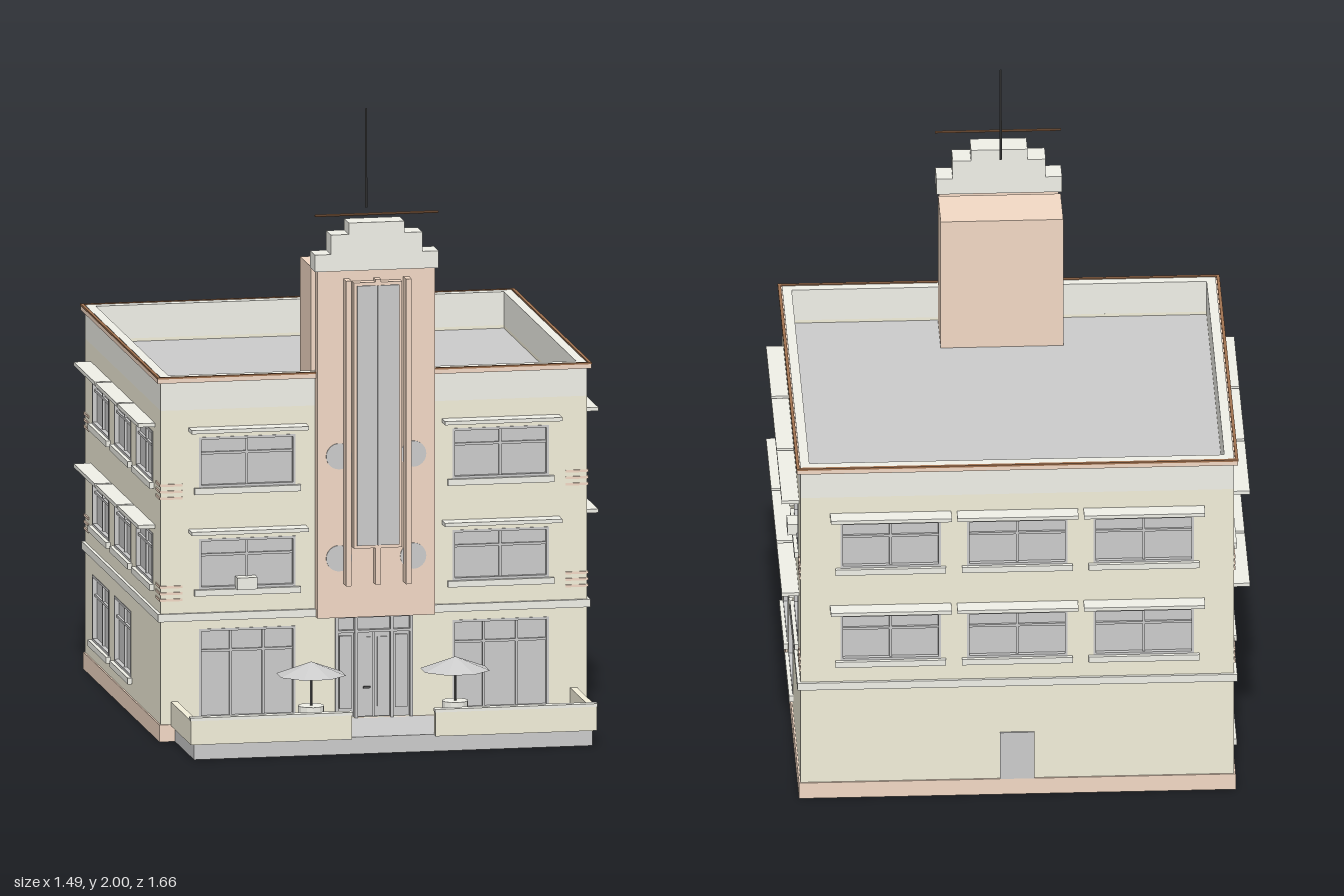
import * as THREE from 'three';

const mat = (color) => new THREE.MeshStandardMaterial({ color, flatShading: true });
const GREY = mat(0xcccccc), CREAM = mat(0xf3efda), PEACH = mat(0xf3d9c5),
  WHITE = mat(0xf0f0e8), COPPER = mat(0xa0714f), DARK = mat(0x555555);

function add(parent, name, geometry, material, x = 0, y = 0, z = 0) {
  const mesh = new THREE.Mesh(geometry, material);
  mesh.name = name;
  mesh.position.set(x, y, z);
  parent.add(mesh);
  return mesh;
}

// Box given by its extents on each axis
function box(parent, name, material, [x0, x1], [y0, y1], [z0, z1]) {
  return add(parent, name, new THREE.BoxGeometry(x1 - x0, y1 - y0, z1 - z0), material,
    (x0 + x1) / 2, (y0 + y1) / 2, (z0 + z1) / 2);
}

function rectPath(path, x0, y0, x1, y1) {
  path.moveTo(x0, y0);
  path.lineTo(x1, y0);
  path.lineTo(x1, y1);
  path.lineTo(x0, y1);
  path.closePath();
  return path;
}

// Horizontal rectangular ring, open in the middle
function ring(parent, name, material, hx, hz, thick, y0, y1) {
  const shape = rectPath(new THREE.Shape(), -hx, -hz, hx, hz);
  shape.holes.push(rectPath(new THREE.Path(), -hx + thick, -hz + thick, hx - thick, hz - thick));
  const geo = new THREE.ExtrudeGeometry(shape, { depth: y1 - y0, bevelEnabled: false });
  geo.rotateX(-Math.PI / 2);
  return add(parent, name, geo, material, 0, y0, 0);
}

const HX = 0.69, HZ = 0.635, ZC = -0.145, T = 0.03;
const WALL_BASE = 0.05, WALL_TOP = 1.07, ROWS = [0.488, 0.817];

// Glazing with frame, mullions and sill, in a wall whose outer face is z = 0
function addWindow(wall, { u, w, y0, y1, bars = [0], transom, sill = true }) {
  const g = new THREE.Group();
  g.name = 'window';
  g.position.x = u;
  wall.add(g);
  const h = w / 2, f = 0.008, zr = [-0.022, 0.002];
  box(g, 'glass', GREY, [-h, h], [y0, y1], [-0.02, -0.012]);
  for (const s of [-1, 1]) box(g, 'frameSide', GREY, [s * (h - f / 2) - f / 2, s * (h - f / 2) + f / 2], [y0, y1], zr);
  box(g, 'frameTop', GREY, [-h, h], [y1 - f, y1], zr);
  box(g, 'frameBottom', GREY, [-h, h], [y0, y0 + f], zr);
  for (const b of bars) box(g, 'mullion', GREY, [b * w - 0.004, b * w + 0.004], [y0, y1], [-0.02, -0.004]);
  if (transom) box(g, 'transom', GREY, [-h, h], [transom - 0.004, transom + 0.004], [-0.02, -0.004]);
  if (sill) box(g, 'sill', WHITE, [-h - 0.016, h + 0.016], [y0 - 0.02, y0], [-0.01, 0.014]);
}

// One wall with window holes, canopies, corner stripes and air conditioners
function facade(parent, { name, angle, half, offset, trim, cols, width, canopy, ground, opening, units, stripes }) {
  const wall = new THREE.Group();
  wall.name = name;
  wall.rotation.y = angle;
  wall.position.set(Math.sin(angle) * offset, 0, Math.cos(angle) * offset);
  parent.add(wall);

  const windows = [...ground];
  for (const y of ROWS) for (const u of cols)
    windows.push({ u, w: width, y0: y, y1: y + 0.163, transom: y + 0.11 });

  const shape = rectPath(new THREE.Shape(), -half + trim, WALL_BASE, half - trim, WALL_TOP);
  for (const o of [...windows, ...opening])
    shape.holes.push(rectPath(new THREE.Path(), o.u - o.w / 2, o.y0, o.u + o.w / 2, o.y1));
  add(wall, 'wallPanel', new THREE.ExtrudeGeometry(shape, { depth: T, bevelEnabled: false }), CREAM, 0, 0, -T);
  windows.forEach((o) => addWindow(wall, o));

  for (const y of ROWS) {
    for (const u of cols)
      box(wall, 'canopy', WHITE, [u - canopy / 2, u + canopy / 2], [y + 0.184, y + 0.196], [0, 0.055]);
    if (stripes) for (const s of [-1, 1]) for (let i = 0; i < 3; i++) {
      const c = s * (half - 0.033), cy = y - 0.031 + i * 0.021;
      box(wall, 'cornerStripe', PEACH, [c - 0.037, c + 0.037], [cy - 0.004, cy + 0.004], [0, 0.004]);
    }
  }
  for (const [u, row] of units)
    box(wall, 'airConditioner', WHITE, [u - 0.033, u + 0.033], [ROWS[row], ROWS[row] + 0.038], [-0.01, 0.03]);
  return wall;
}

function entrance(parent) {
  const g = new THREE.Group();
  g.name = 'entrance';
  g.position.z = 0.49;
  parent.add(g);
  box(g, 'entranceGlass', GREY, [-0.125, 0.125], [0.055, 0.387], [-0.025, -0.012]);
  for (const x of [-0.121, -0.058, 0.058, 0.121])
    box(g, 'doorPost', GREY, [x - 0.005, x + 0.005], [0.055, 0.387], [-0.02, 0.006]);
  for (const y of [0.335, 0.383]) box(g, 'doorHead', GREY, [-0.125, 0.125], [y - 0.004, y + 0.004], [-0.02, 0.005]);
  for (const s of [-1, 1]) {
    box(g, 'doorLeaf', GREY, [s * 0.027 - 0.025, s * 0.027 + 0.025], [0.058, 0.33], [-0.015, -0.004]);
    box(g, 'doorPane', GREY, [s * 0.027 - 0.016, s * 0.027 + 0.016], [0.09, 0.315], [-0.01, 0]);
    box(g, 'sidePane', GREY, [s * 0.09 - 0.02, s * 0.09 + 0.02], [0.085, 0.32], [-0.015, -0.004]);
  }
  box(g, 'doorHandle', DARK, [-0.035, -0.012], [0.15, 0.156], [0, 0.006]);
}

function tower(parent) {
  const g = new THREE.Group();
  g.name = 'tower';
  parent.add(g);
  box(g, 'towerSlab', PEACH, [-0.19, 0.19], [0.387, 1.51], [0.485, 0.527]);
  box(g, 'stairHouse', PEACH, [-0.195, 0.195], [1.04, 1.51], [0.265, 0.445]);
  // Stepped crown
  const half = [[0.2, 1.51], [0.2, 1.565], [0.148, 1.565], [0.148, 1.628], [0.09, 1.628], [0.09, 1.665]];
  const pts = [...half, ...half.map(([x, y]) => [-x, y]).reverse()].map(([x, y]) => new THREE.Vector2(x, y));
  add(g, 'crown', new THREE.ExtrudeGeometry(new THREE.Shape(pts), { depth: 0.08, bevelEnabled: false }), WHITE, 0, 0, 0.457);
  // Tall glazing between fins
  box(g, 'glazingFrame', PEACH, [-0.078, 0.078], [0.615, 1.475], [0.52, 0.56]);
  box(g, 'tallGlazing', GREY, [-0.068, 0.068], [0.625, 1.465], [0.52, 0.565]);
  for (const x of [-0.097, 0, 0.097])
    box(g, 'fin', PEACH, [x - 0.009, x + 0.009], [0.497, 1.484], [0.52, x ? 0.574 : 0.563]);
  box(g, 'glazingBar', GREY, [-0.002, 0.002], [0.625, 1.465], [0.56, 0.568]);
  for (const x of [-0.12, 0.12]) for (const y of [0.58, 0.91]) {
    const disc = new THREE.CylinderGeometry(0.042, 0.042, 0.006, 24);
    disc.rotateX(Math.PI / 2);
    add(g, 'roundel', disc, GREY, x, y, 0.528);
  }
  const rod = new THREE.CylinderGeometry(0.004, 0.004, 0.4, 8);
  rod.rotateZ(Math.PI / 2);
  add(g, 'crownRod', rod, COPPER, 0, 1.692, 0.537);
  add(g, 'mast', new THREE.CylinderGeometry(0.003, 0.004, 0.32, 8), DARK, 0, 1.84, 0.36);
}

function terrace(parent) {
  const g = new THREE.Group();
  g.name = 'terrace';
  parent.add(g);
  box(g, 'terraceFloor', GREY, [-0.645, 0.645], [0, 0.055], [0.485, 0.815]);
  for (const s of [-1, 1]) {
    const span = (a, b) => (s > 0 ? [a, b] : [-b, -a]);
    box(g, 'frontWall', CREAM, span(0.135, 0.657), [0.05, 0.13], [0.803, 0.826]);
    box(g, 'frontWallCap', WHITE, span(0.133, 0.659), [0.128, 0.138], [0.801, 0.83]);
    box(g, 'sideWall', CREAM, span(0.635, 0.657), [0.05, 0.128], [0.49, 0.803]);
    // Table and parasol
    const set = new THREE.Group();
    set.name = 'parasolTable';
    set.position.set(s * 0.233, 0, 0.645);
    g.add(set);
    add(set, 'table', new THREE.CylinderGeometry(0.042, 0.042, 0.075, 12), WHITE, 0, 0.0925, 0);
    add(set, 'pole', new THREE.CylinderGeometry(0.004, 0.004, 0.13, 6), DARK, 0, 0.18, 0);
    const shade = new THREE.ConeGeometry(0.113, 0.042, 8);
    shade.rotateY(Math.PI / 8);
    add(set, 'parasol', shade, GREY, 0, 0.251, 0);
  }
}

export function createModel() {
  const model = new THREE.Group();
  model.name = 'building';
  const body = new THREE.Group();
  body.name = 'body';
  body.position.z = ZC;
  model.add(body);

  // Four walls
  const sideGround = [-0.365, 0].map((u) => ({ u, w: 0.276, y0: 0.117, y1: 0.33, transom: 0.265 }));
  const frontGround = [-0.41, 0.41].map((u) => ({ u, w: 0.312, y0: 0.07, y1: 0.36, bars: [-0.17, 0.17], transom: 0.288, sill: false }));
  const side = { half: HZ, offset: HX, trim: T, cols: [-0.365, 0, 0.365], width: 0.276, canopy: 0.35, ground: sideGround, opening: [], stripes: true };
  const end = { half: HX, offset: HZ, trim: 0 };
  facade(body, { ...end, name: 'frontWall', angle: 0, cols: [-0.41, 0.41], width: 0.312, canopy: 0.38,
    ground: frontGround, opening: [{ u: 0, w: 0.25, y0: 0.055, y1: 0.387 }], units: [[-0.415, 0]], stripes: true });
  facade(body, { ...side, name: 'leftWall', angle: Math.PI / 2, units: [[-0.365, 0], [-0.365, 1], [0.365, 1]] });
  facade(body, { ...side, name: 'rightWall', angle: -Math.PI / 2, units: [] });
  const back = facade(body, { ...end, name: 'backWall', angle: Math.PI, cols: [-0.403, 0, 0.403], width: 0.32,
    canopy: 0.385, ground: [], opening: [], units: [], stripes: false });
  box(back, 'backDoor', GREY, [-0.055, 0.055], [0.055, 0.22], [-0.01, 0.006]);

  // Plinth, belt course, parapet, coping and roof
  ring(body, 'plinth', PEACH, HX + 0.005, HZ + 0.005, 0.036, 0, 0.055);
  ring(body, 'beltCourse', WHITE, HX + 0.01, HZ + 0.01, 0.02, 0.388, 0.413);
  ring(body, 'parapet', WHITE, HX, HZ, T, WALL_TOP, 1.178);
  ring(body, 'coping', PEACH, HX + 0.012, HZ + 0.012, 0.014, 1.16, 1.174);
  ring(body, 'copingTrim', COPPER, HX + 0.013, HZ + 0.013, 0.01, 1.174, 1.18);
  box(body, 'roof', GREY, [-HX + 0.025, HX - 0.025], [1.04, 1.06], [-HZ + 0.025, HZ - 0.025]);

  entrance(model);
  tower(model);
  terrace(model);
  return model;
}
